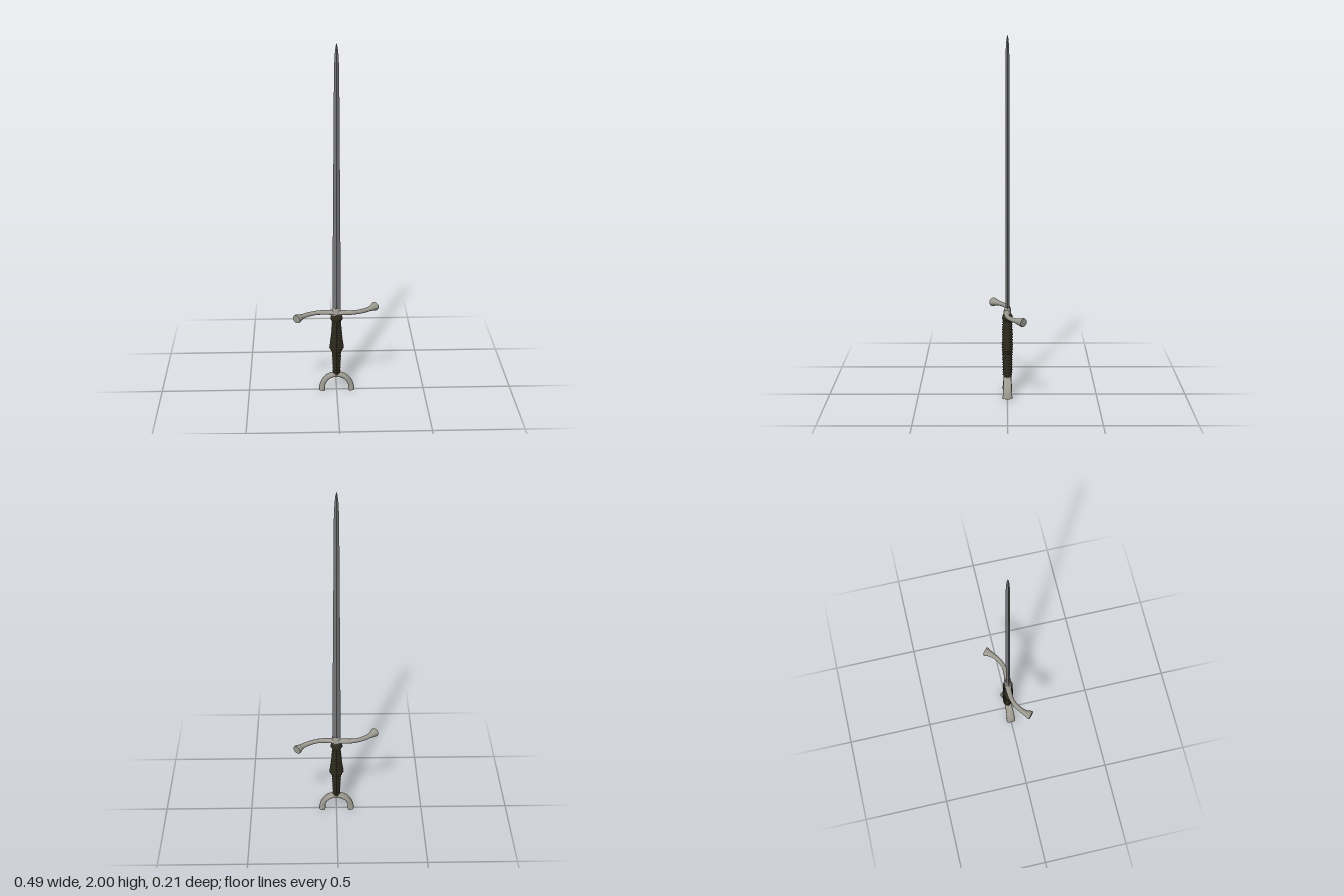
import * as THREE from 'three';

const steel = new THREE.MeshStandardMaterial({ name: 'blade steel', color: 0x77777a });
const pale = new THREE.MeshStandardMaterial({ name: 'pale metal', color: 0x9c9a90 });
const dark = new THREE.MeshStandardMaterial({ name: 'dark grip', color: 0x2e2b1f });

// Closed loft through sections { c: centre, u, v: axes (u x v points along the loft), a, b: half sizes }.
// power 1 gives a diamond cross-section, 2 an ellipse.
function loft(sections, sides, power, flat) {
  const pos = [], index = [], e = 2 / power;
  const sp = (t) => Math.sign(t) * Math.pow(Math.abs(t) < 1e-9 ? 0 : Math.abs(t), e);
  const ring = (s) => {
    for (let j = 0; j < sides; j++) {
      const t = (j / sides) * Math.PI * 2;
      const p = s.c.clone().addScaledVector(s.u, s.a * sp(Math.cos(t))).addScaledVector(s.v, s.b * sp(Math.sin(t)));
      pos.push(p.x, p.y, p.z);
    }
  };
  sections.forEach(ring);
  const n = sections.length;
  for (let i = 0; i < n - 1; i++) for (let j = 0; j < sides; j++) {
    const k = (j + 1) % sides, a = i * sides + j, b = i * sides + k;
    index.push(a, b, a + sides, b, b + sides, a + sides);
  }
  // Caps on their own rings, to keep the rims sharp
  ring(sections[0]);
  ring(sections[n - 1]);
  for (let j = 1; j < sides - 1; j++) {
    const s = n * sides, t = s + sides;
    index.push(s, s + j + 1, s + j, t, t + j, t + j + 1);
  }
  let g = new THREE.BufferGeometry();
  g.setAttribute('position', new THREE.Float32BufferAttribute(pos, 3));
  g.setIndex(index);
  if (flat) g = g.toNonIndexed();
  g.computeVertexNormals();
  return g;
}

const Z = new THREE.Vector3(0, 0, 1), X = new THREE.Vector3(1, 0, 0), Y = new THREE.Vector3(0, 1, 0);
// Section at height y, half width a and half depth b
const level = (y, a, b) => ({ c: new THREE.Vector3(0, y, 0), u: Z, v: X, a: b, b: a });

// Sections along a curve lying in the plane square to axis; size(t) gives [in-plane, along axis]
function sweep(curve, steps, axis, size) {
  return Array.from({ length: steps + 1 }, (_, i) => {
    const t = i / steps, [a, b] = size(t);
    const u = new THREE.Vector3().crossVectors(axis, curve.getTangentAt(t)).normalize();
    return { c: curve.getPointAt(t), u, v: axis, a, b };
  });
}

// Linear interpolation through [position, value...] rows
function sample(rows, y) {
  let i = 0;
  while (i < rows.length - 2 && y > rows[i + 1][0]) i++;
  const f = THREE.MathUtils.clamp((y - rows[i][0]) / (rows[i + 1][0] - rows[i][0]), 0, 1);
  return rows[i].slice(1).map((v, k) => v + (rows[i + 1][k + 1] - v) * f);
}

export function createModel() {
  const model = new THREE.Group();
  model.name = 'sword';
  const add = (name, geometry, material, parent = model) => {
    const m = new THREE.Mesh(geometry, material);
    m.name = name;
    parent.add(m);
    return m;
  };

  // Blade: slender diamond section ending in a narrow point
  add('blade', loft([
    level(0.47, 0.024, 0.012), level(1.2, 0.0185, 0.0115), level(1.86, 0.0135, 0.011),
    level(1.94, 0.01, 0.0085), level(1.98, 0.0055, 0.005), level(2, 0.0005, 0.0005),
  ], 4, 1, true), steel);

  // Crossguard: S-curve in plan with flared ends
  const half = [[0.045, 0.004], [0.1, 0.001], [0.15, -0.018], [0.195, -0.052], [0.225, -0.0865]];
  const path = [...half.slice().reverse().map(([x, z]) => [-x, -z]), [0, 0], ...half];
  const guardCurve = new THREE.CatmullRomCurve3(path.map(([x, z]) => new THREE.Vector3(x, 0.478, z)));
  add('crossguard', loft(sweep(guardCurve, 72, Y, (t) => {
    const d = Math.abs(t - 0.5) * 2;
    const [r, h] = sample([[0, 0.021, 0.015], [0.2, 0.016, 0.013], [0.45, 0.0125, 0.012],
      [0.78, 0.0145, 0.0125], [0.88, 0.0185, 0.018], [0.96, 0.026, 0.024], [0.985, 0.0275, 0.025], [1, 0.025, 0.023]], d);
    return [r, h];
  }), 20, 2), pale);
  add('guardBlock', loft([level(0.46, 0.03, 0.021), level(0.485, 0.03, 0.021), level(0.505, 0.02, 0.013)], 16, 1.5), pale);

  // Grip: waisted handle with a swelling, ribbed along its length
  const profile = [[0.095, 0.021, 0.022], [0.15, 0.022, 0.025], [0.235, 0.026, 0.026], [0.262, 0.041, 0.028],
    [0.29, 0.038, 0.028], [0.34, 0.031, 0.027], [0.38, 0.028, 0.026], [0.425, 0.024, 0.025],
    [0.437, 0.034, 0.029], [0.452, 0.034, 0.029], [0.468, 0.023, 0.022]];
  const grip = new THREE.Group();
  grip.name = 'grip';
  model.add(grip);
  const rows = [];
  for (let i = 0; i <= 124; i++) {
    const y = 0.095 + i * 0.003, [a, b] = sample(profile, y);
    const rib = 0.0012 * Math.sin(i * Math.PI / 3);
    rows.push(level(y, a + rib, b + rib));
  }
  add('gripBody', loft(rows, 24, 1.5), dark, grip);

  // Beaded seams down front and back
  const bead = new THREE.OctahedronGeometry(0.005);
  for (const side of [1, -1]) for (let y = 0.115; y < 0.43; y += 0.0145) {
    const b = sample(profile, y)[1];
    add('gripBead', bead, dark, grip).position.set(0, y, side * b);
  }

  // Pommel: downturned crescent with widening feet
  const arch = new THREE.CatmullRomCurve3(
    [[-0.084, 0.002], [-0.079, 0.036], [-0.06, 0.069], [-0.032, 0.088], [0, 0.094],
      [0.032, 0.088], [0.06, 0.069], [0.079, 0.036], [0.084, 0.002]].map(([x, y]) => new THREE.Vector3(x, y, 0)));
  add('crescentPommel', loft(sweep(arch, 40, Z, (t) => sample(
    [[0, 0.012, 0.021], [0.5, 0.013, 0.023], [0.8, 0.0155, 0.025], [0.97, 0.0185, 0.028], [1, 0.018, 0.027]],
    Math.abs(t - 0.5) * 2)), 20, 3), pale);

  return model;
}
